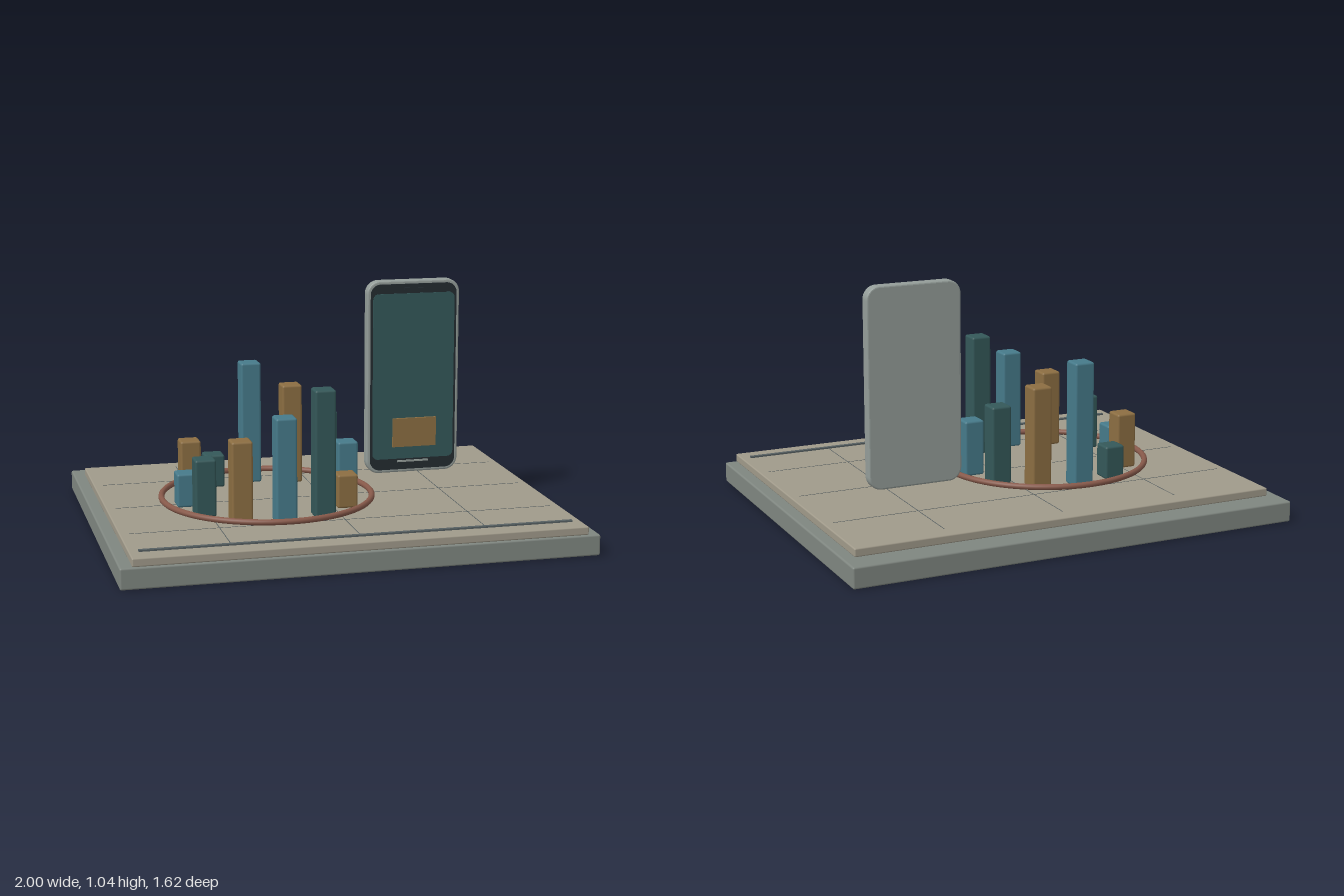
import * as THREE from 'three';
import { RoundedBoxGeometry } from 'three/addons/geometries/RoundedBoxGeometry.js';

const mat = (color) => new THREE.MeshStandardMaterial({ color });
const stone = mat(0x7f8680), sand = mat(0xa09a8a), copper = mat(0x87594a);
const blue = mat(0x467a8a), teal = mat(0x345859), gold = mat(0x8c6e42);
const silver = mat(0x949d99), black = mat(0x232b30), slate = mat(0x566062);

export function createModel() {
  const model = new THREE.Group();

  const add = (name, geometry, material, x, y, z) => {
    const mesh = new THREE.Mesh(geometry, material);
    mesh.name = name;
    mesh.position.set(x, y, z);
    model.add(mesh);
    return mesh;
  };
  const block = (name, w, h, d, r, material, x, y, z) =>
    add(name, r ? new RoundedBoxGeometry(w, h, d, 2, r) : new THREE.BoxGeometry(w, h, d), material, x, y, z);

  // Upright slab with rounded corners, its back face at z
  const slab = (name, w, h, depth, r, bevel, material, x, y, z) => {
    const a = w / 2 - bevel, b = h / 2 - bevel;
    const s = new THREE.Shape();
    s.moveTo(-a + r, -b);
    s.lineTo(a - r, -b);
    s.absarc(a - r, -b + r, r, -Math.PI / 2, 0);
    s.absarc(a - r, b - r, r, 0, Math.PI / 2);
    s.absarc(-a + r, b - r, r, Math.PI / 2, Math.PI);
    s.absarc(-a + r, -b + r, r, Math.PI, Math.PI * 1.5);
    const geometry = new THREE.ExtrudeGeometry(s, {
      depth: depth - 2 * bevel, bevelEnabled: bevel > 0, bevelSize: bevel,
      bevelThickness: bevel, bevelSegments: 3, curveSegments: 8,
    });
    geometry.translate(0, 0, bevel);
    return add(name, geometry, material, x, y, z);
  };

  // Base and the plate on it
  block('base', 2, 0.09, 1.62, 0.008, stone, 0, 0.045, 0);
  block('topPlate', 1.9, 0.036, 1.504, 0.006, sand, 0, 0.108, 0.052);
  block('frontStrip', 1.82, 0.012, 0.018, 0, slate, 0, 0.127, 0.71);

  // Fine grid scored on the plate
  for (const i of [-1, 0, 1]) {
    block('gridLineAcross', 1.82, 0.002, 0.003, 0, slate, 0, 0.126, 0.05 + i * 0.405);
    block('gridLineAlong', 0.003, 0.002, 1.34, 0, slate, i * 0.535, 0.126, 0.05);
  }

  // Ring around the bars
  const cx = -0.25, cz = 0.06;
  const ring = add('ring', new THREE.TorusGeometry(0.457, 0.013, 12, 72), copper, cx, 0.151, cz);
  ring.rotation.x = Math.PI / 2;

  // Twelve bars, rising in repeating steps of five
  const barColors = [blue, teal, gold];
  for (let i = 0; i < 12; i++) {
    const angle = Math.PI - i * Math.PI / 6;
    const bottom = 0.125, top = 0.272 + 0.1 * (i % 5);
    block('bar', 0.09, top - bottom, 0.09, 0.01, barColors[i % 3],
      cx + 0.355 * Math.cos(angle), (top + bottom) / 2, cz + 0.355 * Math.sin(angle));
  }

  // Upright phone, with its screen facing the front
  const px = 0.457, py = 0.606;
  slab('phoneBody', 0.425, 0.872, 0.052, 0.05, 0.008, silver, px, py, -0.153);
  slab('phoneBezel', 0.395, 0.842, 0.006, 0.045, 0, black, px, py, -0.102);
  slab('phoneScreen', 0.375, 0.75, 0.004, 0.025, 0, teal, px, 0.61, -0.097);
  block('earpiece', 0.09, 0.01, 0.006, 0, black, px, 1.005, -0.093);
  block('homeBar', 0.145, 0.008, 0.006, 0, silver, px, 0.223, -0.094);
  block('screenCard', 0.2, 0.13, 0.012, 0, gold, px, 0.36, -0.073);

  return model;
}
